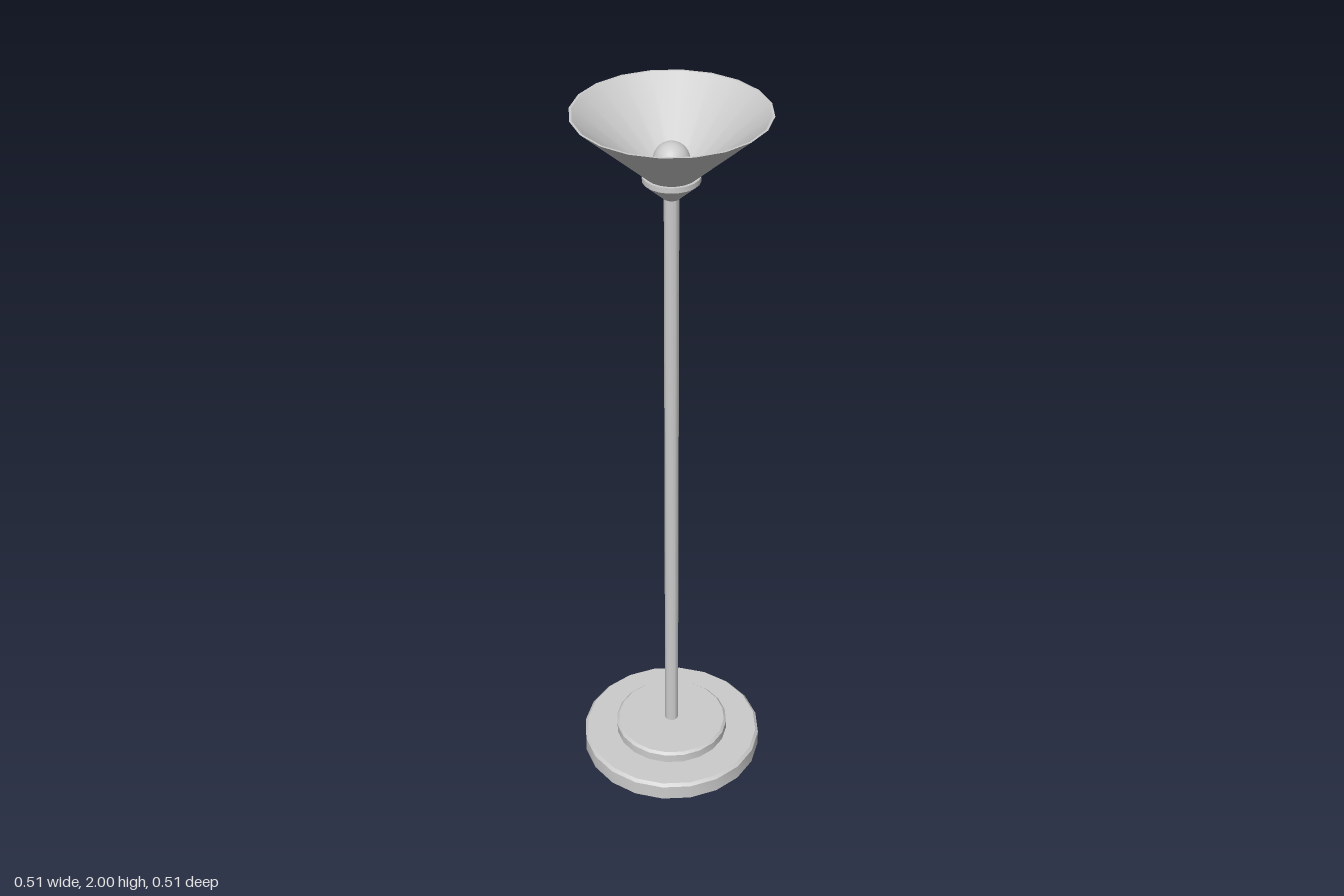
import * as THREE from 'three';
import { toCreasedNormals } from 'three/addons/utils/BufferGeometryUtils.js';

const SIDES = 20;

export function createModel() {
  const lamp = new THREE.Group();
  lamp.name = 'floorLamp';
  const material = new THREE.MeshStandardMaterial({ color: 0xcccccc });

  const add = (name, geometry) => {
    const mesh = new THREE.Mesh(geometry, material);
    mesh.name = name;
    lamp.add(mesh);
    return mesh;
  };
  // Turned part from [radius, height] pairs, smooth around and sharp at its edges
  const turned = (name, profile) => {
    const points = profile.map(([r, y]) => new THREE.Vector2(r, y));
    return add(name, toCreasedNormals(new THREE.LatheGeometry(points, SIDES), 0.5));
  };
  // Disc with a small chamfer on its top edge
  const disc = (name, radius, bottom, top, chamfer) => turned(name, [
    [0, bottom], [radius, bottom], [radius, top - chamfer], [radius - chamfer, top], [0, top],
  ]);

  // Two-step base
  disc('base', 0.254, 0, 0.052, 0.008);
  disc('baseStep', 0.16, 0.05, 0.084, 0.007);

  // Pole
  turned('pole', [[0, 0.08], [0.019, 0.08], [0.019, 1.79], [0, 1.79]]);

  // Tapered collar holding the shade
  turned('collar', [[0, 1.777], [0.021, 1.777], [0.072, 1.824], [0.072, 1.838], [0, 1.838]]);

  // Open conical shade: outer wall, thin rim, inner wall
  turned('shade', [[0.058, 1.832], [0.243, 2], [0.237, 2], [0.05, 1.839], [0, 1.839]]);

  // Bulb
  add('bulb', new THREE.SphereGeometry(0.045, 32, 20)).position.y = 1.877;

  return lamp;
}
